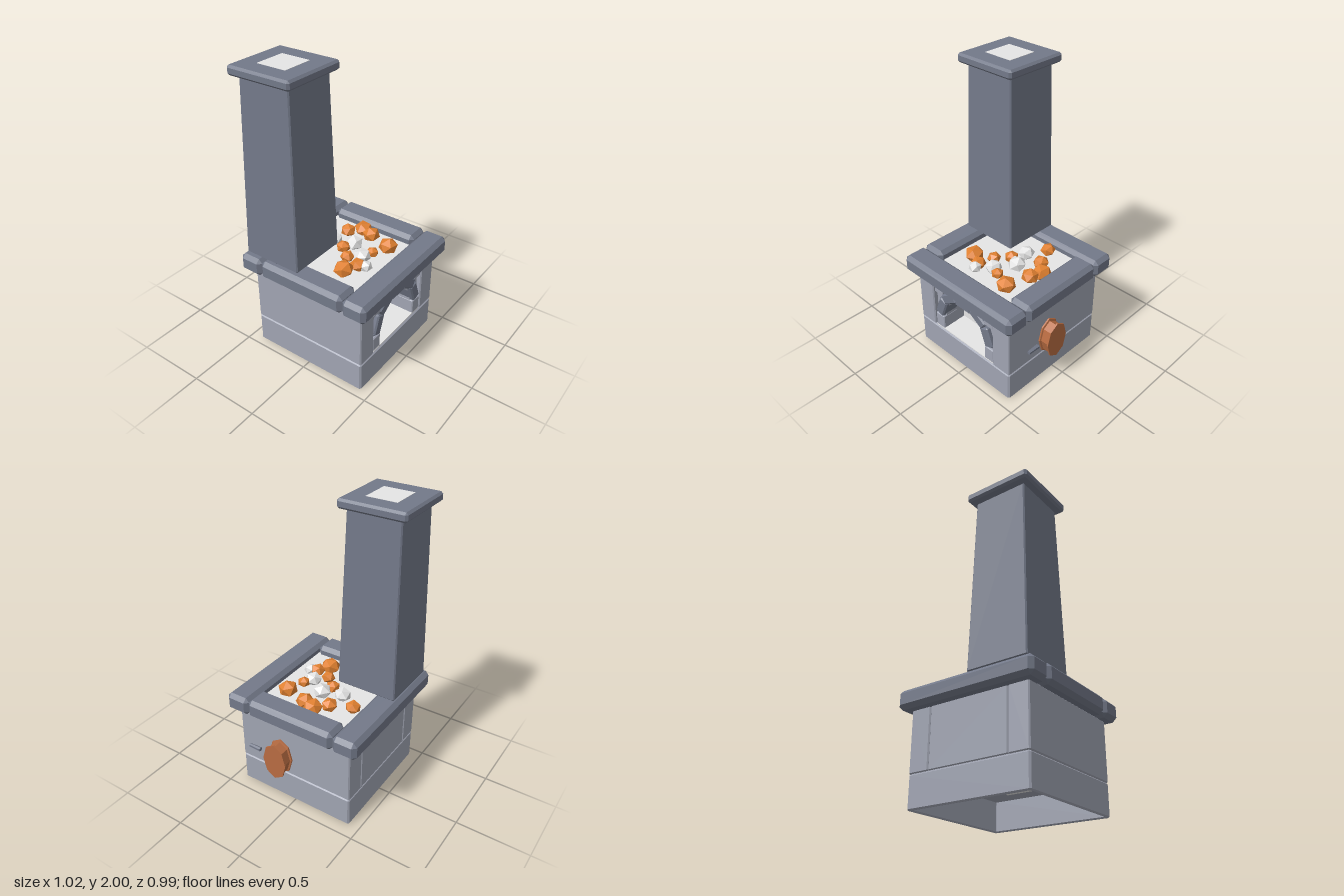
import * as THREE from 'three';
import { ConvexGeometry } from 'three/addons/geometries/ConvexGeometry.js';

const mat = (name, color) => Object.assign(new THREE.MeshStandardMaterial({ color }), { name });

export function createModel() {
  const root = new THREE.Group();
  root.name = 'forge';
  const darkStone = mat('dark stone', 0x737989);
  const paleStone = mat('pale stone', 0xa0a4b2);
  const ash = mat('ash', 0xe5e5e5);
  const ember = mat('ember', 0xe08030);
  const copper = mat('copper', 0xb86c42);

  const add = (name, geo, material) => {
    const mesh = new THREE.Mesh(geo, material);
    mesh.name = name;
    root.add(mesh);
    return mesh;
  };

  // Centred box with all twelve edges chamfered by c; the top may be narrower
  const chamferBox = (w, h, d, c, top = 1) => {
    const points = [];
    for (const sx of [-1, 1]) for (const sy of [-1, 1]) for (const sz of [-1, 1]) {
      const k = sy > 0 ? top : 1;
      for (const [a, b, e] of [[0, c, c], [c, 0, c], [c, c, 0]]) {
        points.push(new THREE.Vector3(sx * (w * k / 2 - a), sy * (h / 2 - b), sz * (d * k / 2 - e)));
      }
    }
    return new ConvexGeometry(points);
  };

  // Chamfered block given by its extents
  const block = (name, [x0, x1], [y0, y1], [z0, z1], c, material) => {
    const mesh = add(name, chamferBox(x1 - x0, y1 - y0, z1 - z0, c), material);
    mesh.position.set((x0 + x1) / 2, (y0 + y1) / 2, (z0 + z1) / 2);
    return mesh;
  };

  // Rectangular outline with corners cut by c
  const outline = (P, x0, x1, y0, y1, c) => new P([
    [x0 + c, y0], [x1 - c, y0], [x1, y0 + c], [x1, y1 - c],
    [x1 - c, y1], [x0 + c, y1], [x0, y1 - c], [x0, y0 + c],
  ].map(p => new THREE.Vector2(...p)));

  // Hollow plinth, open below, with a thin deck on top
  const ring = outline(THREE.Shape, -0.437, 0.402, -0.422, 0.417, 0.006);
  ring.holes.push(outline(THREE.Path, -0.432, 0.397, -0.417, 0.412, 0.006));
  const plinth = new THREE.ExtrudeGeometry(ring, {
    depth: 0.194, bevelEnabled: true, bevelThickness: 0.008, bevelSize: 0.008, bevelSegments: 1,
  });
  add('plinth', plinth.rotateX(-Math.PI / 2).translate(0, 0.008, 0), paleStone);
  block('plinthDeck', [-0.435, 0.4], [0.2, 0.212], [-0.42, 0.42], 0.002, paleStone);

  // Body walls
  block('rightWall', [-0.445, -0.303], [0.21, 0.61], [-0.425, 0.43], 0.008, paleStone);
  block('leftWall', [0.262, 0.41], [0.21, 0.61], [-0.425, 0.43], 0.008, paleStone);
  block('backWall', [-0.303, 0.262], [0.21, 0.61], [-0.424, -0.3], 0.008, paleStone);

  // Front panel with an arched mouth
  const cx = -0.018;
  const panel = outline(THREE.Shape, -0.303, 0.262, 0.21, 0.605, 0);
  const mouth = new THREE.Path([
    [-0.2, 0.215], [0.2, 0.215], [0.2, 0.36], [0.15, 0.46],
    [0.06, 0.52], [-0.06, 0.52], [-0.15, 0.46], [-0.2, 0.36],
  ].map(([x, y]) => new THREE.Vector2(cx + x, y)));
  panel.holes.push(mouth);
  add('frontPanel', new THREE.ExtrudeGeometry(panel, { depth: 0.155, bevelEnabled: false })
    .translate(0, 0, 0.24), paleStone);

  // Jamb blocks and arch stones, mirrored about the mouth
  for (const s of [-1, 1]) {
    const span = (a, b) => [cx + s * a, cx + s * b].sort((p, q) => p - q);
    block('lowerJamb', span(0.198, 0.281), [0.215, 0.322], [0.3, 0.422], 0.006, paleStone);
    block('upperJamb', span(0.198, 0.281), [0.5, 0.605], [0.3, 0.422], 0.006, paleStone);
    for (const [x, y, len, turn] of [[0.138, 0.512, 0.14, 0.58], [0.217, 0.4, 0.15, 1.22]]) {
      const stone = add('archStone', chamferBox(len, 0.074, 0.13, 0.01), darkStone);
      stone.position.set(cx + s * x, y, 0.362);
      stone.rotation.z = -s * turn;
    }
  }
  block('keystone', [cx - 0.072, cx + 0.072], [0.506, 0.578], [0.297, 0.427], 0.01, darkStone);

  // Ash floor and lining of the mouth; the floor shows through the deck
  add('mouthFloor', new THREE.BoxGeometry(0.55, 0.008, 0.185), ash).position.set(cx, 0.216, 0.33);
  add('mouthBack', new THREE.BoxGeometry(0.56, 0.38, 0.008), ash).position.set(cx, 0.405, 0.236);
  add('floorUnderside', new THREE.BoxGeometry(0.44, 0.004, 0.08), ash).position.set(cx, 0.2, 0.24);

  // Rim beams round the hearth
  block('frontBeam', [-0.512, 0.474], [0.603, 0.73], [0.32, 0.493], 0.027, darkStone);
  block('backBeam', [-0.512, 0.474], [0.603, 0.73], [-0.498, -0.325], 0.027, darkStone);
  block('rightBeam', [-0.512, -0.34], [0.606, 0.735], [-0.325, 0.32], 0.027, darkStone);
  block('leftBeam', [0.302, 0.475], [0.606, 0.735], [-0.325, 0.32], 0.027, darkStone);

  // Ash bed with scattered, slightly flattened coals: x, z, radius
  add('ashBed', new THREE.BoxGeometry(0.74, 0.01, 0.74), ash).position.set(-0.02, 0.668, 0);
  const coals = (name, material, list) => list.forEach(([x, z, r], i) => {
    const geo = new THREE.IcosahedronGeometry(r, 0).rotateX(i * 1.3).rotateY(i * 2.1 + 0.4).scale(1, 0.85, 1);
    geo.computeVertexNormals();
    add(name, geo, material).position.set(x, 0.7, z);
  });
  coals('emberCoal', ember, [
    [0.11, -0.26, 0.054], [0.173, -0.12, 0.056], [0.25, -0.043, 0.067], [0.222, 0.04, 0.062],
    [-0.01, -0.027, 0.05], [-0.088, 0.062, 0.048], [-0.212, 0.125, 0.07], [-0.122, 0.174, 0.054],
    [0.05, 0.168, 0.043], [0.173, 0.211, 0.068],
  ]);
  coals('ashCoal', ash, [[0.03, -0.13, 0.059], [0.07, 0.005, 0.064], [-0.017, 0.135, 0.059], [-0.105, 0.222, 0.046]]);

  // Tapered chimney, cap and flue
  add('chimney', chamferBox(0.423, 1.2, 0.423, 0.008, 0.872), darkStone).position.set(-0.253, 1.332, -0.259);
  block('chimneyCap', [-0.486, -0.025], [1.936, 1.998], [-0.491, -0.03], 0.014, darkStone);
  add('flue', new THREE.BoxGeometry(0.214, 0.008, 0.21), ash).position.set(-0.256, 1.996, -0.26);

  // Eight-sided bellows with two flanges
  const profile = [[0, 0], [0.135, 0], [0.135, 0.01], [0.119, 0.014], [0.119, 0.066], [0.135, 0.07], [0.135, 0.08], [0, 0.08]]
    .map(q => new THREE.Vector2(...q));
  const drum = new THREE.LatheGeometry(profile, 8).toNonIndexed();
  drum.rotateZ(-Math.PI / 2).scale(1, 1, 0.66);
  drum.computeVertexNormals();
  add('bellows', drum, copper).position.set(0.43, 0.362, 0.087);

  // Small peg beside the bellows
  const peg = new THREE.CylinderGeometry(0.012, 0.015, 0.088, 6).toNonIndexed();
  peg.computeVertexNormals();
  add('peg', peg.rotateX(Math.PI / 2), darkStone).position.set(0.472, 0.377, 0.271);

  return root;
}
